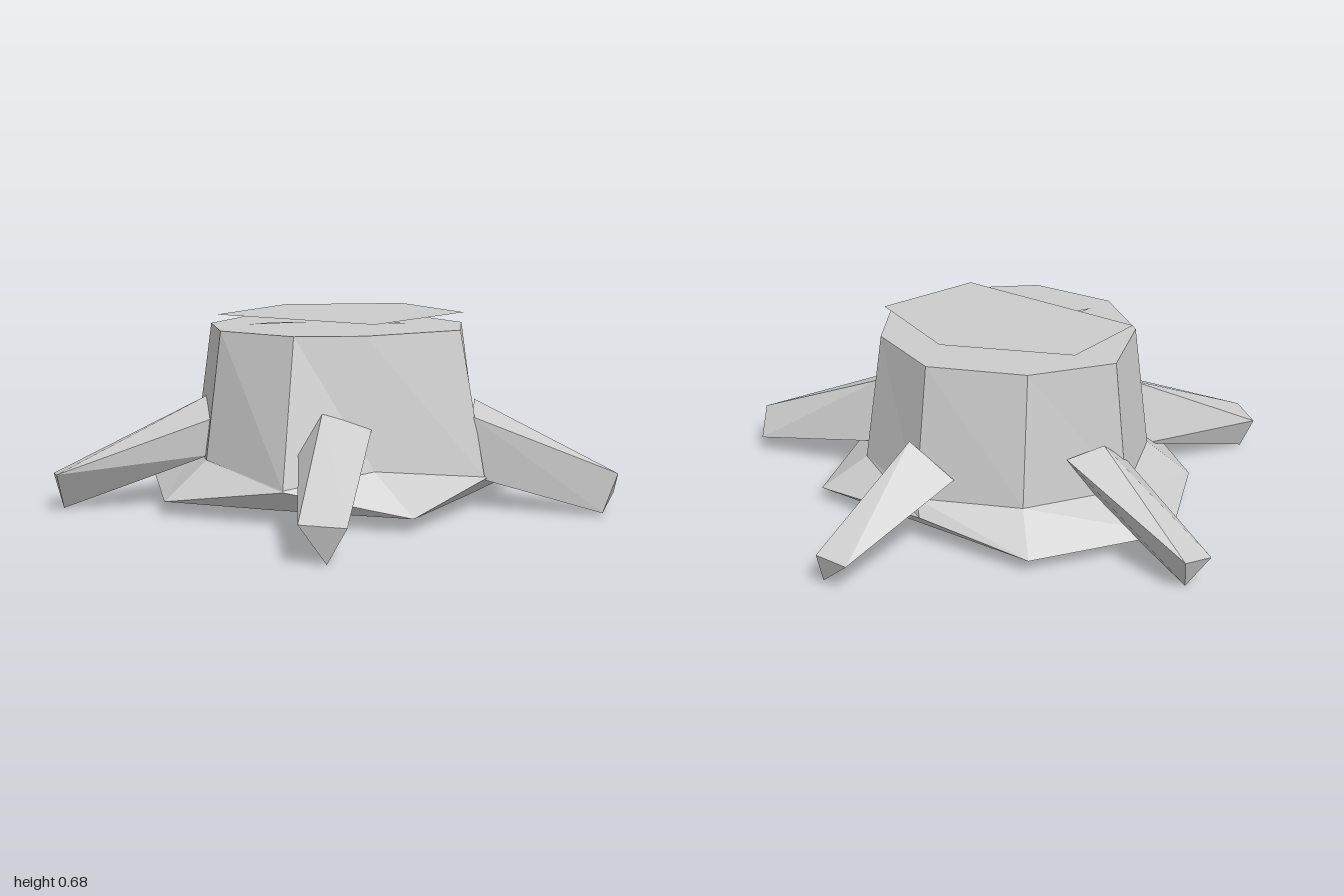
import * as THREE from 'three';
import { ConvexGeometry } from 'three/addons/geometries/ConvexGeometry.js';

const wood = new THREE.MeshStandardMaterial({ color: 0xcccccc, flatShading: true, side: THREE.DoubleSide });
wood.name = 'pale grey wood';

// Non-indexed geometry from triangles of [x, y, z] corners
function fromTriangles(tris) {
  const g = new THREE.BufferGeometry();
  g.setAttribute('position', new THREE.Float32BufferAttribute(tris.flat(2), 3));
  g.computeVertexNormals();
  return g;
}

// Triangle fan over a ring of points, optionally with the winding flipped
const fan = (ring, flip = false) => ring.slice(2).map((p, i) => (
  flip ? [ring[0], p, ring[i + 1]] : [ring[0], ring[i + 1], p]));

// Closed solid through rings listed bottom to top, each clockwise from above
function loft(rings) {
  const tris = [...fan(rings[0]), ...fan(rings.at(-1), true)];
  for (let r = 0; r < rings.length - 1; r++) {
    const lo = rings[r], hi = rings[r + 1];
    for (let i = 0; i < lo.length; i++) {
      const j = (i + 1) % lo.length;
      tris.push([lo[i], hi[i], hi[j]], [lo[i], hi[j], lo[j]]);
    }
  }
  return fromTriangles(tris);
}

const atHeight = (y, pts) => pts.map(([x, z]) => [x, y, z]);

export function createModel() {
  const model = new THREE.Group();
  model.name = 'treeStump';
  const add = (name, geometry) => {
    const m = new THREE.Mesh(geometry, wood);
    m.name = name;
    model.add(m);
  };

  // Trunk with a flared, uneven foot
  const foot = atHeight(0.06, [[0, -0.48], [0.46, -0.48], [0.53, 0], [0.58, 0.42], [0.13, 0.6],
    [-0.25, 0.73], [-0.61, 0.42], [-0.54, -0.03], [-0.47, -0.48]]);
  const rim = [[-0.04, 0.11, -0.525], [0.46, 0.06, -0.48], [0.595, 0.125, -0.005], [0.58, 0.06, 0.42],
    [0.205, 0.135, 0.632], [-0.25, 0.06, 0.73], [-0.61, 0.06, 0.42], [-0.79, 0.075, -0.06], [-0.47, 0.06, -0.48]];
  const waist = [[0, 0.16, -0.49], [0.35, 0.17, -0.345], [0.59, 0.13, -0.005], [0.4, 0.19, 0.39],
    [0.2, 0.14, 0.63], [-0.19, 0.19, 0.58], [-0.46, 0.18, 0.35], [-0.58, 0.17, -0.02], [-0.36, 0.17, -0.35]];
  const crown = atHeight(0.64, [[0, -0.42], [0.31, -0.285], [0.48, -0.01], [0.34, 0.36], [0.16, 0.52],
    [-0.17, 0.52], [-0.41, 0.31], [-0.52, -0.02], [-0.33, -0.285]]);
  add('trunk', loft([foot, rim, waist, crown]));

  // Roots: four corners at the trunk, three at the tip
  const roots = {
    backRoot: [[-0.13, 0.25, -0.44], [0.04, 0.365, -0.47], [0.13, 0.17, -0.43], [0, 0.14, -0.42],
      [-0.07, 0.13, -0.95], [0.05, 0.14, -0.96], [0.06, 0.02, -0.92]],
    leftRoot: [[0.46, 0.38, -0.14], [0.54, 0.34, 0], [0.57, 0.12, -0.01], [0.44, 0.15, -0.2],
      [1, 0.16, -0.21], [0.94, 0.07, -0.305], [0.96, 0.02, -0.18]],
    rightRoot: [[-0.44, 0.32, -0.2], [-0.53, 0.36, -0.1], [-0.56, 0.26, 0.02], [-0.54, 0.1, -0.08],
      [-0.97, 0.14, -0.31], [-1, 0.11, -0.18], [-0.94, 0.01, -0.24]],
    frontRightRoot: [[-0.34, 0.39, 0.4], [-0.2, 0.33, 0.54], [-0.21, 0.2, 0.54], [-0.42, 0.14, 0.4],
      [-0.67, 0.13, 0.86], [-0.56, 0.15, 0.94], [-0.62, 0.01, 0.86]],
    frontLeftRoot: [[0.38, 0.33, 0.38], [0.25, 0.39, 0.48], [0.2, 0.26, 0.55], [0.3, 0.12, 0.54],
      [0.65, 0.13, 0.87], [0.53, 0.14, 0.955], [0.58, 0.01, 0.88]],
  };
  for (const [name, pts] of Object.entries(roots)) {
    add(name, new ConvexGeometry(pts.map((p) => new THREE.Vector3(...p))));
  }

  // Thin tilted sheet above the cut face
  const sheet = [[0, -0.34], [-0.42, -0.13], [-0.42, 0.27], [0.34, 0.31], [0.41, -0.14]]
    .map(([x, z]) => [x, 0.682 + 0.01 * x - 0.035 * z, z]);
  add('topSheet', fromTriangles(fan(sheet)));

  // Splinters lying under the sheet
  const rightSplinter = atHeight(0.652, [[-0.175, 0.38], [-0.12, 0.28], [-0.04, 0.14], [-0.16, 0.26]]);
  const leftSplinter = atHeight(0.652, [[0.06, -0.04], [0.16, 0.05], [0.27, 0]]);
  add('rightSplinter', fromTriangles(fan(rightSplinter)));
  add('leftSplinter', fromTriangles(fan(leftSplinter)));
  return model;
}
